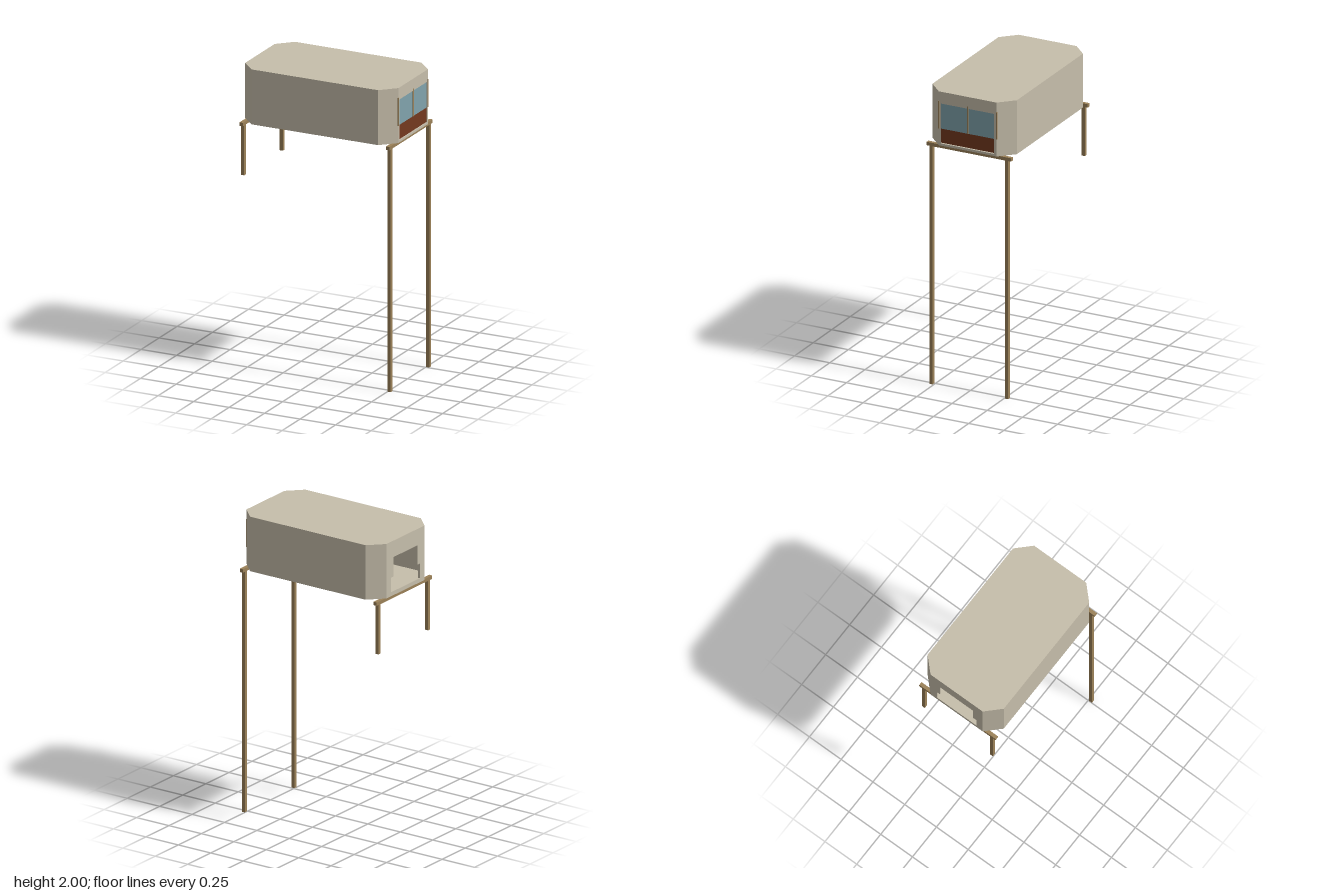
import * as THREE from 'three';

const mat = (name, color, side = THREE.FrontSide) => {
  const m = new THREE.MeshStandardMaterial({ color, side });
  m.name = name;
  return m;
};

export function createModel() {
  const g = new THREE.Group();
  g.name = 'stiltCabin';
  const shell = mat('shell beige', 0xc6beab);
  const wood = mat('wood', 0x9c8259);
  const glass = mat('window blue', 0x80a3ac);
  const panel = mat('panel brown', 0x74391f);

  const add = (name, geo, m, x = 0, y = 0, z = 0) => {
    const mesh = new THREE.Mesh(geo, m);
    mesh.name = name;
    mesh.position.set(x, y, z);
    g.add(mesh);
    return mesh;
  };
  // box given by its x, y and z ranges
  const box = (name, m, [x0, x1], [y0, y1], [z0, z1]) =>
    add(name, new THREE.BoxGeometry(x1 - x0, y1 - y0, z1 - z0), m, (x0 + x1) / 2, (y0 + y1) / 2, (z0 + z1) / 2);
  const shapeOf = (pts) => new THREE.Shape(pts.map(([x, y]) => new THREE.Vector2(x, y)));
  // plan outline raised upwards
  const slab = (pts, h) =>
    new THREE.ExtrudeGeometry(shapeOf(pts), { depth: h, bevelEnabled: false }).rotateX(-Math.PI / 2);

  const X = 0.54, Z = 0.3, cx = 0.445, cz = 0.205, t = 0.012;
  const bottom = 1.635, floorTop = 1.65, roofBase = 1.99;

  // floor and roof
  const half = [[X, cz], [cx, Z], [-cx, Z], [-X, cz]];
  const octagon = [...half, ...half.map(([x, z]) => [-x, -z])];
  add('floor', slab(octagon, floorTop - bottom), shell, 0, bottom);
  add('roof', slab(octagon, 2 - roofBase), shell, 0, roofBase);

  // long walls with their slanted corners
  const inner = [[-X, cz - t * 1.4], [-cx + t * 0.4, Z - t], [cx - t * 0.4, Z - t], [X, cz - t * 1.4]];
  for (const [name, turn] of [['frontWall', Math.PI], ['backWall', 0]]) {
    add(name, slab([...half, ...inner], roofBase - floorTop), shell, 0, floorTop).rotation.y = turn;
  }

  // open end wall, its doorway narrower above
  const wz = cz - t * 1.4;
  const end = shapeOf([[-wz, floorTop], [wz, floorTop], [wz, roofBase], [-wz, roofBase]]);
  end.holes.push(new THREE.Path([
    [-0.155, 1.662], [-0.155, 1.76], [-0.13, 1.76], [-0.13, 1.89],
    [0.13, 1.89], [0.13, 1.76], [0.155, 1.76], [0.155, 1.662],
  ].map(([x, y]) => new THREE.Vector2(x, y))));
  const endGeo = new THREE.ExtrudeGeometry(end, { depth: t, bevelEnabled: false }).rotateY(-Math.PI / 2);
  add('doorwayWall', endGeo, shell, -X + t);

  // glazed end wall
  box('windowHeader', shell, [X - t, X], [1.92, roofBase], [-wz, wz]);
  box('lowerPanel', panel, [X - t, X - 0.002], [1.655, 1.75], [-cz + 0.002, cz - 0.002]);
  for (const s of [-1, 1]) {
    const zs = [s * 0.004, s * (cz - 0.004)].sort((a, b) => a - b);
    box('window', glass, [X - 0.01, X - 0.002], [1.75, 1.922], zs);
  }
  for (const z of [-cz, 0, cz]) {
    box('windowPost', wood, [X - 0.01, X + 0.002], [1.75, 1.935], [z - 0.004, z + 0.004]);
  }

  // cross beams and square stilts, long at one end and short at the other
  for (const [x, foot] of [[0.512, 0], [-0.52, 1.28]]) {
    box('crossBeam', wood, [x - 0.012, x + 0.012], [1.612, bottom], [-Z, Z]);
    for (const z of [-0.268, 0.268]) {
      box('stilt', wood, [x - 0.011, x + 0.011], [foot, 1.612], [z - 0.011, z + 0.011]);
    }
  }
  return g;
}
